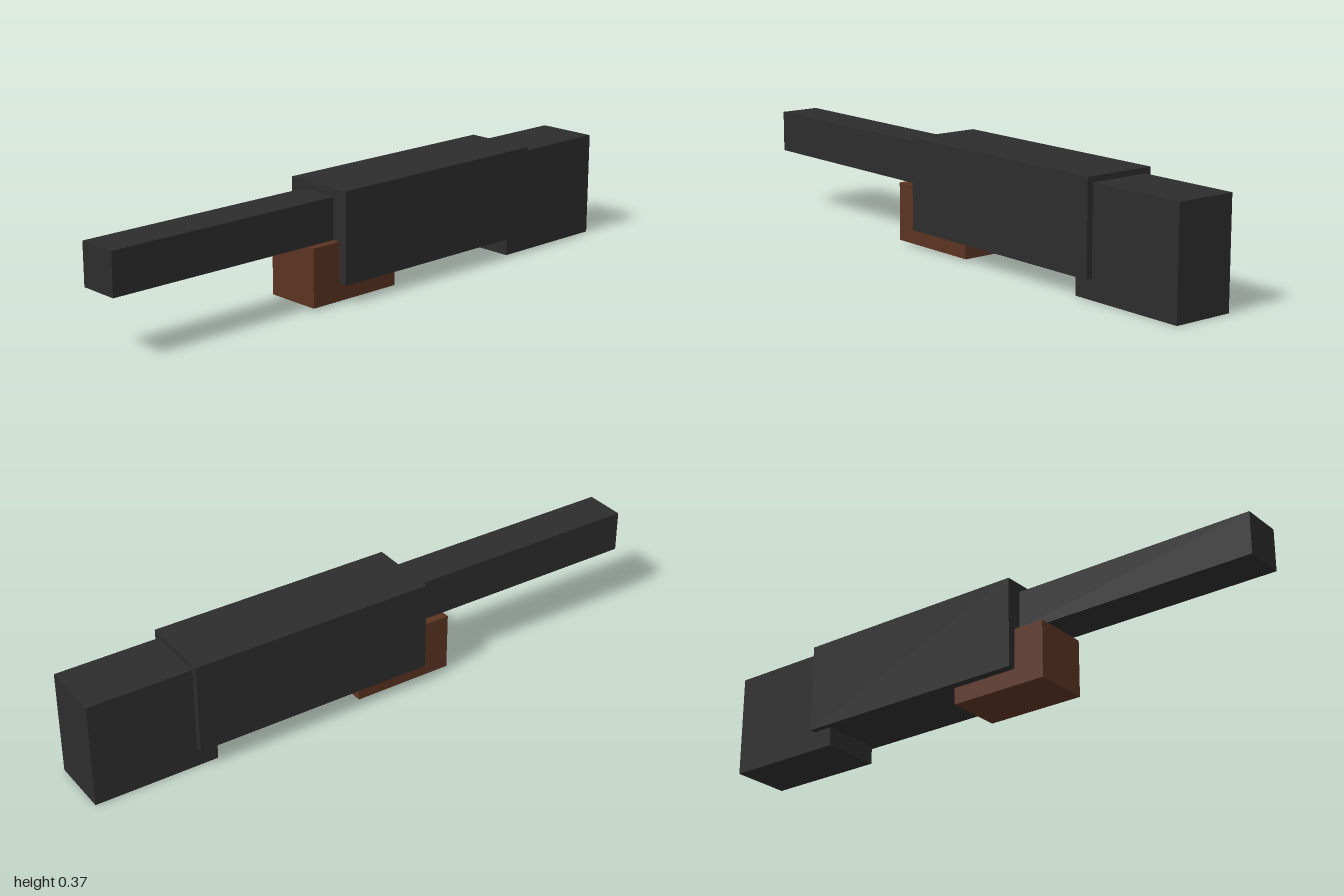
import * as THREE from 'three';

export function createModel() {
  const group = new THREE.Group();
  const darkMetal = new THREE.MeshStandardMaterial({ color: 0x2d2d2d });
  darkMetal.name = 'darkMetal';
  const brownWood = new THREE.MeshStandardMaterial({ color: 0x5c3422 });
  brownWood.name = 'brownWood';

  // Block centred on x, given its width and its y and z extents
  function block(name, material, width, [y0, y1], [z0, z1]) {
    const mesh = new THREE.Mesh(new THREE.BoxGeometry(width, y1 - y0, z1 - z0), material);
    mesh.position.set(0, (y0 + y1) / 2, (z0 + z1) / 2);
    mesh.name = name;
    group.add(mesh);
  }

  block('body', darkMetal, 0.248, [0.064, 0.366], [-0.655, 0.17]);
  block('barrel', darkMetal, 0.138, [0.2, 0.338], [0.1, 1]);
  block('stock', darkMetal, 0.206, [0, 0.348], [-1, -0.585]);
  block('foregrip', brownWood, 0.192, [0.008, 0.2], [-0.066, 0.277]);

  return group;
}
